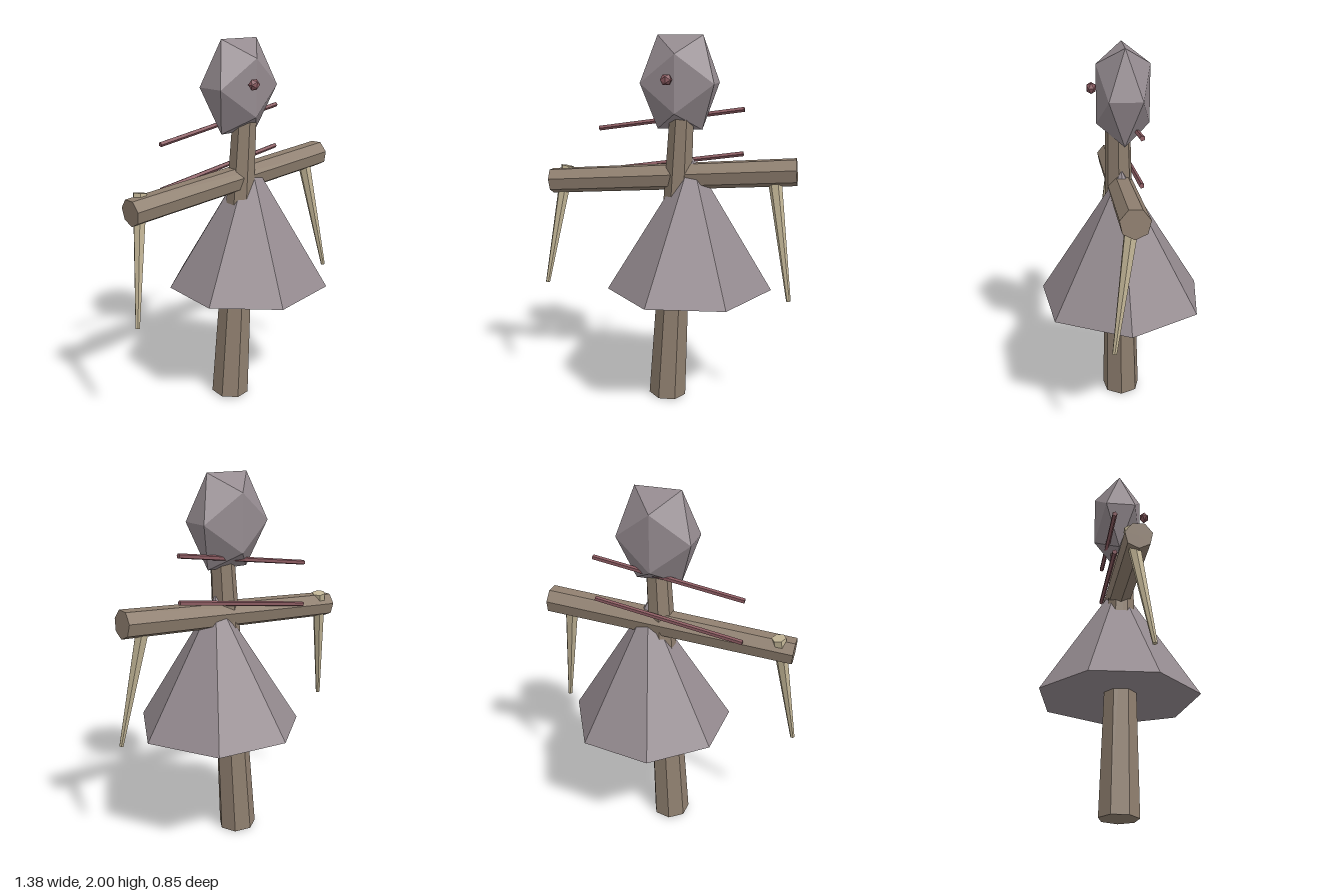
import * as THREE from 'three';
import { ConvexGeometry } from 'three/addons/geometries/ConvexGeometry.js';

const V = (x, y, z) => new THREE.Vector3(x, y, z);

function mat(name, color) {
  const m = new THREE.MeshStandardMaterial({ color, flatShading: true });
  m.name = name;
  return m;
}

export function createModel() {
  const wood = mat('weathered wood', 0x8f7f6f);
  const cloth = mat('grey cloth', 0x958b90);
  const straw = mat('pale straw', 0xc2b596);
  const red = mat('dull red', 0x8a5a60);

  const model = new THREE.Group();
  model.name = 'scarecrow';

  const add = (name, geometry, material) => {
    const mesh = new THREE.Mesh(geometry, material);
    mesh.name = name;
    model.add(mesh);
    return mesh;
  };

  // Tapered faceted stick between two points
  const stick = (name, a, b, ra, rb, sides, spin, material) => {
    const dir = b.clone().sub(a);
    const geo = new THREE.CylinderGeometry(rb, ra, dir.length(), sides, 1, false, spin);
    const mesh = add(name, geo, material);
    mesh.position.copy(a).add(b).multiplyScalar(0.5);
    mesh.quaternion.setFromUnitVectors(V(0, 1, 0), dir.normalize());
  };

  // Leaning post and crossbar
  stick('post', V(0.002, 0.007, -0.013), V(0.083, 1.6, 0.01), 0.105, 0.064, 7, 0.63, wood);
  stick('crossbar', V(-0.648, 1.22, 0.011), V(0.684, 1.318, -0.021), 0.07, 0.074, 7, Math.PI / 2, wood);

  // Hanging straw arms, one under each end of the crossbar
  for (const [name, s] of [['leftArm', 1], ['rightArm', -1]]) {
    stick(name, V(s * 0.675, 0.645, 0.073), V(s * 0.568, 1.3, -0.02), 0.012, 0.037, 6, Math.PI / 2, straw);
  }

  // Uneven seven-sided skirt: rim corners (x, z) and a peak
  const rim = [[-0.005, -0.43], [0.372, -0.378], [0.573, -0.023], [0.39, 0.356],
    [-0.013, 0.422], [-0.29, 0.159], [-0.276, -0.196]];
  const skirt = rim.map(([x, z]) => V(x, 0.667, z));
  skirt.push(V(0.133, 1.385, -0.004));
  add('skirt', new ConvexGeometry(skirt), cloth);

  // Flattened sack head
  const head = add('head', new THREE.IcosahedronGeometry(1, 0), cloth);
  head.scale.set(0.228, 0.282, 0.158);
  head.position.set(0.067, 1.76, -0.017);

  // Button on the face
  const button = add('button', new THREE.IcosahedronGeometry(1, 0), red);
  button.scale.set(0.033, 0.031, 0.027);
  button.position.set(0.03, 1.783, 0.139);

  // Two slanted rods behind the neck
  for (const [name, y] of [['upperRod', 1.565], ['lowerRod', 1.333]]) {
    stick(name, V(-0.397, y - 0.06, -0.079), V(0.397, y + 0.06, -0.079), 0.0135, 0.0135, 5, 0, red);
  }

  return model;
}
